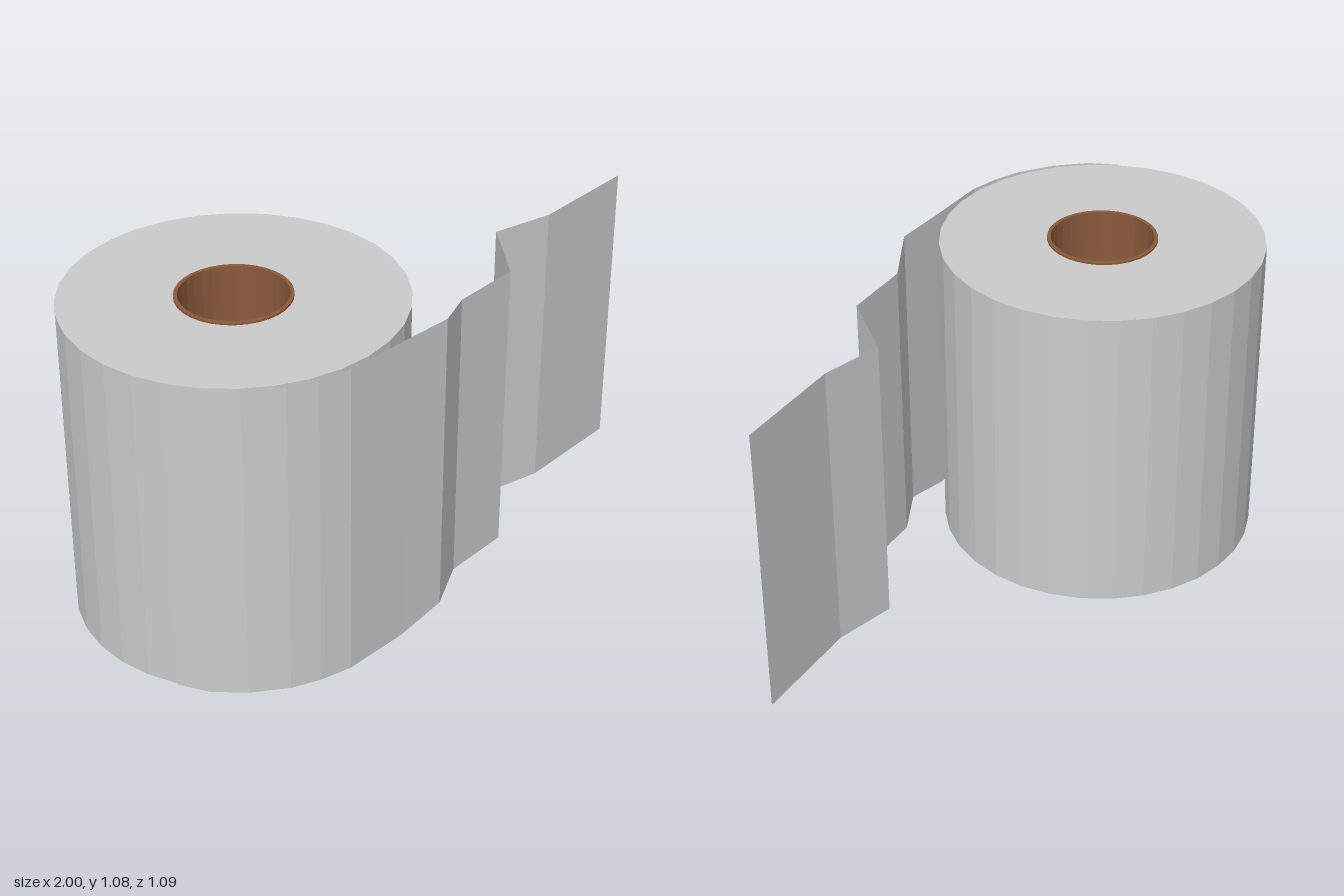
import * as THREE from 'three';

const CX = -0.47, CZ = -0.02;

// Hollow cylinder from a closed rectangular profile
function ring(name, outer, inner, y0, y1, color) {
  const profile = [[outer, y0], [outer, y1], [inner, y1], [inner, y0], [outer, y0]]
    .map(([r, y]) => new THREE.Vector2(r, y));
  const mesh = new THREE.Mesh(
    new THREE.LatheGeometry(profile, 32),
    new THREE.MeshStandardMaterial({ color, flatShading: true })
  );
  mesh.name = name;
  mesh.position.set(CX, 0, CZ);
  return mesh;
}

// Upright ribbon through plan points [x, z, bottom, top]
function ribbon(points) {
  const position = [], index = [];
  points.forEach(([x, z, bottom, top], i) => {
    position.push(x, bottom, z, x, top, z);
    if (i > 0) {
      const a = 2 * (i - 1);
      index.push(a, a + 2, a + 3, a, a + 3, a + 1);
    }
  });
  const geometry = new THREE.BufferGeometry();
  geometry.setAttribute('position', new THREE.Float32BufferAttribute(position, 3));
  geometry.setIndex(index);
  geometry.computeVertexNormals();
  return geometry;
}

export function createModel() {
  const model = new THREE.Group();
  model.name = 'paperRoll';

  // Wound paper and the cardboard tube inside it
  model.add(ring('woundPaper', 0.53, 0.178, 0.012, 1.075, 0xcccccc));
  model.add(ring('cardboardCore', 0.18, 0.168, 0, 1.082, 0x8b5a3c));

  // Loose sheet: peels off the roll, then folds its way out to the side
  const lo = 0.012, hi = 1.075, low = 0.045, high = 1.04;
  const sheet = new THREE.Mesh(
    ribbon([
      [-0.965, 0.183, lo, hi], [-0.925, 0.28, lo, hi], [-0.85, 0.37, lo, hi],
      [-0.75, 0.45, lo, hi], [-0.66, 0.492, lo, hi], [-0.56, 0.521, lo, hi],
      [-0.33, 0.532, lo, hi], [-0.16, 0.543, low, hi], [0.005, 0.465, low, high],
      [0.24, 0.465, low, high], [0.415, 0.272, low, high],
      [0.62, 0.326, low, high], [1, 0.326, low, high],
    ]),
    new THREE.MeshStandardMaterial({ color: 0xcccccc, flatShading: true, side: THREE.DoubleSide })
  );
  sheet.name = 'looseSheet';
  model.add(sheet);

  return model;
}
